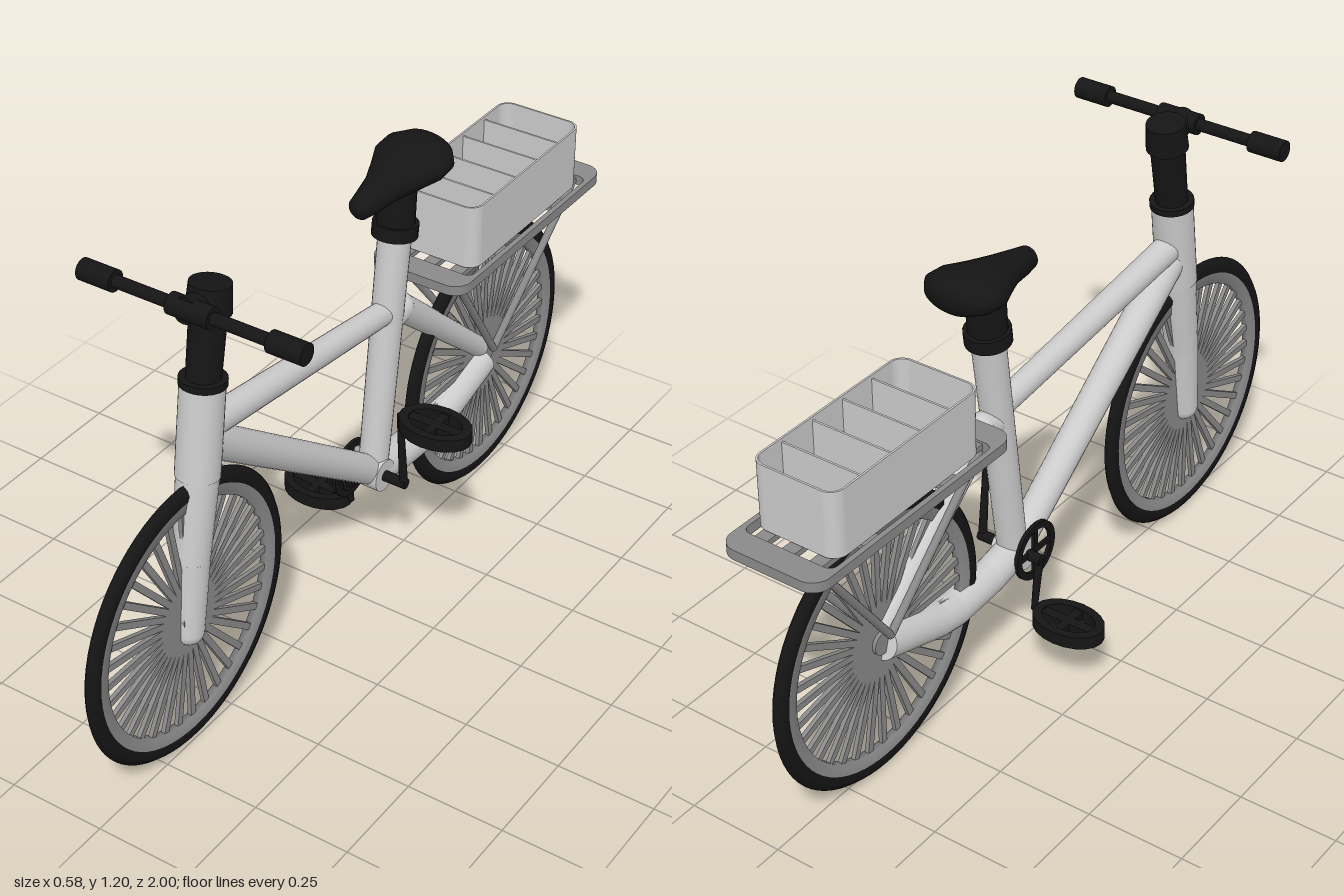
import * as THREE from 'three';
import { mergeVertices } from 'three/addons/utils/BufferGeometryUtils.js';

const grey = new THREE.MeshStandardMaterial({ color: 0xcccccc });
const darkGrey = new THREE.MeshStandardMaterial({ color: 0x8a8a8a, side: THREE.DoubleSide });
const black = new THREE.MeshStandardMaterial({ color: 0x151515, side: THREE.DoubleSide });
const boxGrey = new THREE.MeshStandardMaterial({ color: 0xcccccc, side: THREE.DoubleSide });
const CX = -0.011; // centre plane of the frame
const V = (x, y, z) => new THREE.Vector3(x, y, z);
const P = (z, y) => V(CX, y, z);

function add(parent, name, geometry, material, x = 0, y = 0, z = 0) {
  const mesh = new THREE.Mesh(geometry, material);
  mesh.name = name;
  mesh.position.set(x, y, z);
  parent.add(mesh);
  return mesh;
}

// Straight, optionally tapered rod from a to b
function rod(parent, name, a, b, r0, r1, material, sides = 24) {
  const mesh = add(parent, name, new THREE.CylinderGeometry(r1, r0, a.distanceTo(b), sides), material);
  mesh.position.copy(a).lerp(b, 0.5);
  mesh.quaternion.setFromUnitVectors(V(0, 1, 0), b.clone().sub(a).normalize());
  return mesh;
}

function ball(parent, name, p, r, material) {
  return add(parent, name, new THREE.SphereGeometry(r, 24, 16), material, p.x, p.y, p.z);
}

// Chain of rods with rounded joints and ends
function pipe(parent, name, points, radii, material) {
  const g = new THREE.Group();
  g.name = name;
  points.forEach((p, i) => {
    ball(g, name + 'Joint', p, radii[i], material);
    if (i) rod(g, name + 'Section', points[i - 1], p, radii[i - 1], radii[i], material);
  });
  parent.add(g);
}

function roundedRect(w, h, r, C = THREE.Shape) {
  const s = new C(), x = w / 2, y = h / 2;
  s.moveTo(-x + r, -y).lineTo(x - r, -y);
  s.absarc(x - r, -y + r, r, -Math.PI / 2, 0, false);
  s.absarc(x - r, y - r, r, 0, Math.PI / 2, false);
  s.absarc(-x + r, y - r, r, Math.PI / 2, Math.PI, false);
  s.absarc(-x + r, -y + r, r, Math.PI, Math.PI * 1.5, false);
  return s;
}

// Flat plate lying in the xz plane, growing upwards
function plate(shape, depth) {
  return new THREE.ExtrudeGeometry(shape, { depth, bevelEnabled: false, curveSegments: 10 }).rotateX(-Math.PI / 2);
}

function wheel(name, z) {
  const g = new THREE.Group();
  g.name = name;
  g.position.set(CX - 0.001, 0.366, z);
  const ring = (pts) => new THREE.LatheGeometry(pts.map(([r, x]) => new THREE.Vector2(r, x)), 72).rotateZ(Math.PI / 2);
  add(g, 'tire', ring([[0.325, -0.013], [0.34, -0.016], [0.353, -0.011], [0.363, 0],
    [0.353, 0.011], [0.34, 0.016], [0.325, 0.013]]), black);
  add(g, 'rim', ring([[0.333, -0.013], [0.295, -0.009], [0.295, 0.009], [0.333, 0.013]]), darkGrey);
  const count = 36;
  for (let i = 0; i < count; i++) {
    const spoke = new THREE.BoxGeometry(0.011, 0.3, 0.017).translate(0, 0.152, 0);
    add(g, 'spoke', spoke, darkGrey).rotation.x = (i / count) * Math.PI * 2;
  }
  rod(g, 'hub', V(-0.015, 0, 0), V(0.015, 0, 0), 0.03, 0.03, darkGrey);
  return g;
}

// Saddle lofted from elliptical sections: [z, half width, centre y, half height]
function saddleGeometry() {
  const rows = [[-0.357, 0.035, 1.125, 0.02], [-0.345, 0.07, 1.12, 0.038], [-0.31, 0.096, 1.118, 0.046],
    [-0.265, 0.097, 1.113, 0.047], [-0.21, 0.072, 1.106, 0.043], [-0.15, 0.047, 1.1, 0.039],
    [-0.09, 0.035, 1.092, 0.034], [-0.055, 0.028, 1.09, 0.028], [-0.041, 0.014, 1.09, 0.014]];
  const n = 28, pos = [], idx = [];
  rows.forEach(([z, w, y, h]) => {
    for (let j = 0; j < n; j++) {
      const a = (j / n) * Math.PI * 2;
      pos.push(CX + Math.cos(a) * w, y + Math.sin(a) * h, z);
    }
  });
  for (let i = 0; i < rows.length - 1; i++) {
    for (let j = 0; j < n; j++) {
      const a = i * n + j, b = i * n + (j + 1) % n;
      idx.push(a, b, a + n, b, b + n, a + n);
    }
  }
  const last = (rows.length - 1) * n;
  for (let j = 1; j < n - 1; j++) idx.push(0, j + 1, j, last, last + j, last + j + 1);
  const geo = new THREE.BufferGeometry();
  geo.setAttribute('position', new THREE.Float32BufferAttribute(pos, 3));
  geo.setIndex(idx);
  const welded = mergeVertices(geo);
  welded.computeVertexNormals();
  return welded;
}

// Crank arm with an oval cage pedal; side is +1 or -1
function crank(name, side, y, z) {
  const g = new THREE.Group();
  g.name = name;
  const x = side * 0.084, hub = V(x, 0.31, -0.113);
  rod(g, 'axle', V(side * 0.02, 0.31, -0.113), V(x + side * 0.008, 0.31, -0.113), 0.014, 0.014, black, 16);
  rod(g, 'crankArm', hub, V(x, y, z), 0.011, 0.008, black, 12);
  const oval = new THREE.Shape().absellipse(0, 0, 0.096, 0.066, 0, Math.PI * 2);
  oval.holes.push(new THREE.Path().absellipse(0, 0, 0.072, 0.045, 0, Math.PI * 2));
  const px = side * 0.184;
  add(g, 'pedalCage', plate(oval, 0.034), black, px, y - 0.017, z);
  add(g, 'pedalSpindle', new THREE.BoxGeometry(0.17, 0.024, 0.026), black, px, y, z);
  add(g, 'pedalBar', new THREE.BoxGeometry(0.022, 0.024, 0.11), black, px, y, z);
  return g;
}

export function createModel() {
  const bike = new THREE.Group();
  bike.name = 'bicycle';
  bike.add(wheel('frontWheel', 0.637), wheel('rearWheel', -0.634));

  // Frame and fork
  rod(bike, 'headTube', P(0.578, 0.73), P(0.546, 0.965), 0.052, 0.052, grey, 32);
  pipe(bike, 'fork', [P(0.578, 0.73), P(0.612, 0.52), P(0.634, 0.325)], [0.05, 0.043, 0.037], grey);
  pipe(bike, 'topTube', [P(0.55, 0.842), P(-0.19, 0.745)], [0.036, 0.03], grey);
  pipe(bike, 'downTube', [P(0.55, 0.81), P(-0.1, 0.32)], [0.042, 0.038], grey);
  rod(bike, 'seatTube', P(-0.12, 0.31), P(-0.208, 0.95), 0.037, 0.041, grey);
  pipe(bike, 'seatStay', [P(-0.185, 0.72), P(-0.235, 0.727), P(-0.61, 0.4)], [0.035, 0.036, 0.027], grey);
  pipe(bike, 'chainStay', [P(-0.11, 0.312), P(-0.22, 0.29), P(-0.36, 0.283), P(-0.42, 0.292)],
    [0.042, 0.043, 0.044, 0.044], grey);
  rod(bike, 'chainStayEnd', P(-0.42, 0.292), P(-0.622, 0.354), 0.044, 0.043, grey);

  // Seat post and saddle
  rod(bike, 'seatClamp', P(-0.206, 0.945), P(-0.211, 0.98), 0.056, 0.056, black);
  rod(bike, 'seatPost', P(-0.208, 0.96), P(-0.218, 1.1), 0.047, 0.047, black);
  add(bike, 'saddle', saddleGeometry(), black);

  // Stem and handlebar
  rod(bike, 'headsetCollar', P(0.546, 0.955), P(0.544, 0.972), 0.055, 0.055, black);
  rod(bike, 'stem', P(0.545, 0.96), P(0.515, 1.14), 0.04, 0.043, black);
  rod(bike, 'stemCap', P(0.517, 1.125), P(0.506, 1.193), 0.052, 0.048, black);
  rod(bike, 'stemClamp', P(0.515, 1.15), P(0.6, 1.17), 0.032, 0.03, black);
  const barY = 1.168, barZ = 0.587;
  rod(bike, 'handlebar', V(-0.27, barY, barZ), V(0.27, barY, barZ), 0.015, 0.015, black);
  for (const s of [-1, 1]) {
    rod(bike, 'grip', V(s * 0.203, barY, barZ), V(s * 0.292, barY, barZ), 0.026, 0.026, black);
    rod(bike, 'barSleeve', V(0, barY, barZ), V(s * 0.055, barY, barZ), 0.026, 0.026, black);
  }

  // Drivetrain
  rod(bike, 'bottomBracket', V(-0.05, 0.31, -0.113), V(0.03, 0.31, -0.113), 0.042, 0.042, grey);
  bike.add(crank('leftCrank', 1, 0.53, -0.093), crank('rightCrank', -1, 0.173, -0.133));
  const ring = new THREE.Shape().absarc(0, 0, 0.077, 0, Math.PI * 2);
  ring.holes.push(new THREE.Path().absarc(0, 0, 0.059, 0, Math.PI * 2));
  const ringGeo = new THREE.ExtrudeGeometry(ring, { depth: 0.01, bevelEnabled: false, curveSegments: 24 });
  add(bike, 'chainring', ringGeo.rotateY(Math.PI / 2), black, -0.061, 0.313, -0.092);
  for (let i = 0; i < 2; i++) {
    const arm = add(bike, 'chainringArm', new THREE.BoxGeometry(0.008, 0.13, 0.014), black, -0.056, 0.313, -0.092);
    arm.rotation.x = i * Math.PI / 2;
  }

  // Rear rack
  const rackZ = -0.637;
  const rack = roundedRect(0.27, 0.69, 0.045);
  rack.holes.push(roundedRect(0.243, 0.56, 0.02, THREE.Path));
  add(bike, 'rackFrame', plate(rack, 0.026), darkGrey, CX, 0.764, rackZ);
  for (const x of [-0.075, 0, 0.075]) {
    add(bike, 'rackSlat', new THREE.BoxGeometry(0.035, 0.014, 0.6), darkGrey, CX + x, 0.777, rackZ);
  }
  for (const z of [-0.51, -0.78]) {
    add(bike, 'rackCrossbar', new THREE.BoxGeometry(0.25, 0.012, 0.05), darkGrey, CX, 0.777, z);
  }
  for (const s of [-1, 1]) {
    for (const z of [-0.345, -0.92]) {
      rod(bike, 'rackStrut', V(CX + s * 0.084, 0.775, z), V(CX + s * 0.034, 0.395, -0.63), 0.01, 0.01, darkGrey, 12);
    }
  }

  // Open box with dividers
  const walls = roundedRect(0.228, 0.505, 0.035);
  walls.holes.push(roundedRect(0.218, 0.495, 0.03, THREE.Path));
  add(bike, 'boxWalls', plate(walls, 0.168), boxGrey, CX, 0.79, rackZ);
  add(bike, 'boxFloor', plate(roundedRect(0.226, 0.503, 0.034), 0.008), boxGrey, CX, 0.79, rackZ);
  for (let i = 1; i < 5; i++) {
    add(bike, 'boxDivider', new THREE.BoxGeometry(0.22, 0.155, 0.005), boxGrey, CX, 0.872, -0.3845 - i * 0.101);
  }
  return bike;
}
